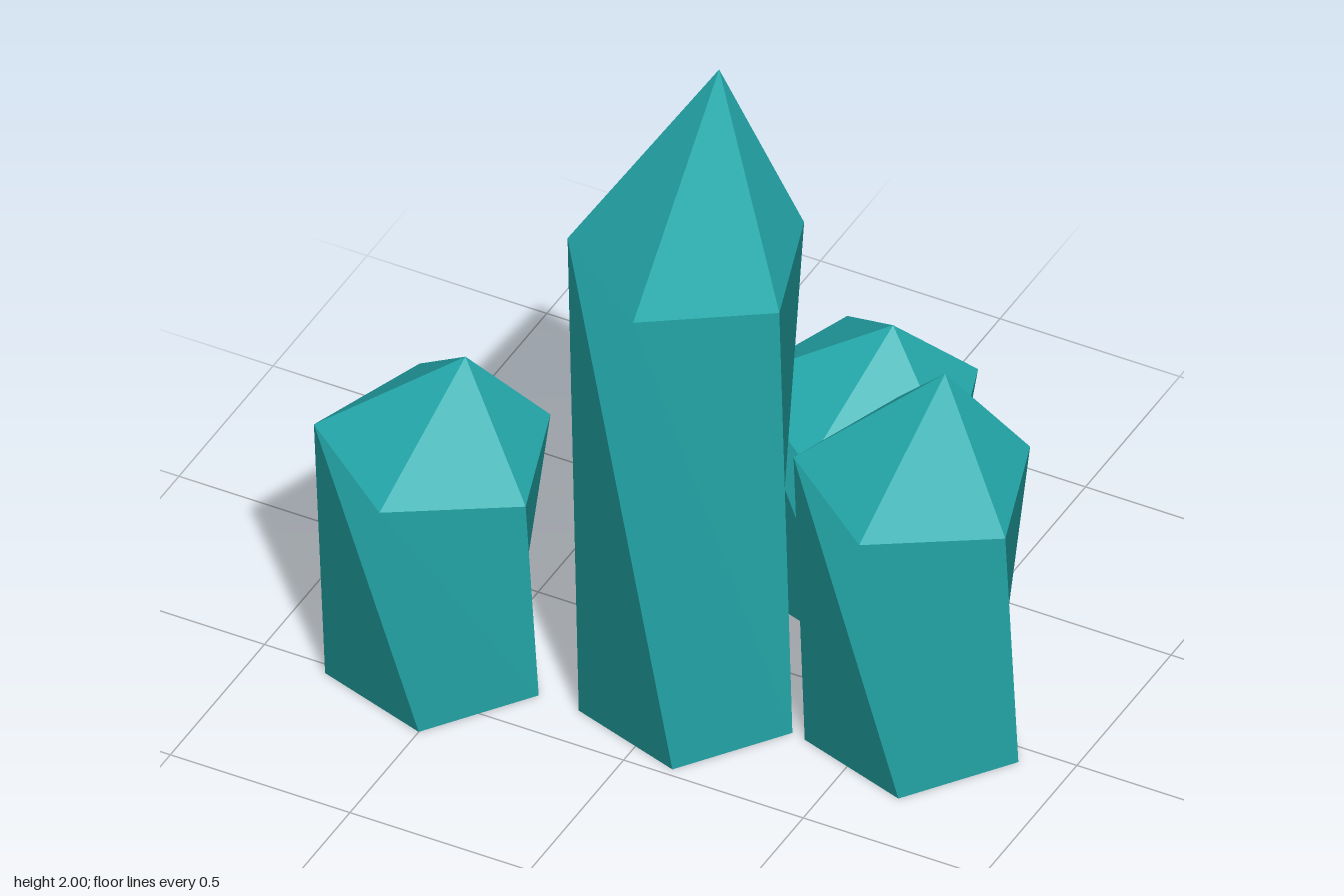
import * as THREE from 'three';

const SIDES = 5;
const TOP_RADIUS = 0.31;
const BASE_RADIUS = 0.281;
const APEX_SHIFT = 0.077;

// Pentagon of points; y drops along x by the given slope
function ring(radius, startDeg, y, slope) {
  return Array.from({ length: SIDES }, (_, i) => {
    const a = THREE.MathUtils.degToRad(startDeg + (360 / SIDES) * i);
    const x = radius * Math.cos(a);
    return new THREE.Vector3(x, y + slope * x, radius * Math.sin(a));
  });
}

// Fan of triangles sharing one flat normal
function addFace(positions, normals, corners, normal) {
  for (let i = 1; i < corners.length - 1; i++) {
    for (const p of [corners[0], corners[i], corners[i + 1]]) {
      positions.push(p.x, p.y, p.z);
      normals.push(normal.x, normal.y, normal.z);
    }
  }
}

// Normal from two crossing directions
function crossNormal(a, b, c, d) {
  return b.clone().sub(a).cross(d.clone().sub(c)).normalize();
}

function crystalGeometry(shoulder, height, slope) {
  const base = ring(BASE_RADIUS, 0, 0, 0);
  const top = ring(TOP_RADIUS, 18, shoulder, slope);
  const apex = new THREE.Vector3(APEX_SHIFT, height, 0);
  const positions = [];
  const normals = [];

  for (let i = 0; i < SIDES; i++) {
    const next = (i + 1) % SIDES;
    const prev = (i + SIDES - 1) % SIDES;
    // twisted side, folded along the ridge from top[i] to base[i]
    const side = crossNormal(top[next], base[prev], base[i], top[i]);
    addFace(positions, normals, [top[i], top[next], base[i], base[prev]], side);
    // facet of the point
    const tip = crossNormal(top[next], top[i], top[next], apex);
    addFace(positions, normals, [top[next], top[i], apex], tip);
  }
  // underside
  addFace(positions, normals, base, new THREE.Vector3(0, -1, 0));

  const geometry = new THREE.BufferGeometry();
  geometry.setAttribute('position', new THREE.Float32BufferAttribute(positions, 3));
  geometry.setAttribute('normal', new THREE.Float32BufferAttribute(normals, 3));
  return geometry;
}

export function createModel() {
  const group = new THREE.Group();
  group.name = 'crystalCluster';

  const teal = new THREE.MeshStandardMaterial({ color: 0x26b0b2 });
  teal.name = 'teal crystal';

  const crystals = [
    { name: 'tallCrystal', x: 0.037, z: 0.21, shoulder: 1.394, height: 2.0, slope: -0.035 },
    { name: 'rightCrystal', x: -0.587, z: 0.367, shoulder: 0.683, height: 0.985, slope: -0.075 },
    { name: 'leftCrystal', x: 0.585, z: 0.055, shoulder: 0.79, height: 1.14, slope: -0.07 },
    { name: 'backCrystal', x: 0.195, z: -0.413, shoulder: 0.573, height: 0.828, slope: -0.095 },
  ];
  for (const c of crystals) {
    const mesh = new THREE.Mesh(crystalGeometry(c.shoulder, c.height, c.slope), teal);
    mesh.name = c.name;
    mesh.position.set(c.x, 0, c.z);
    group.add(mesh);
  }
  return group;
}
